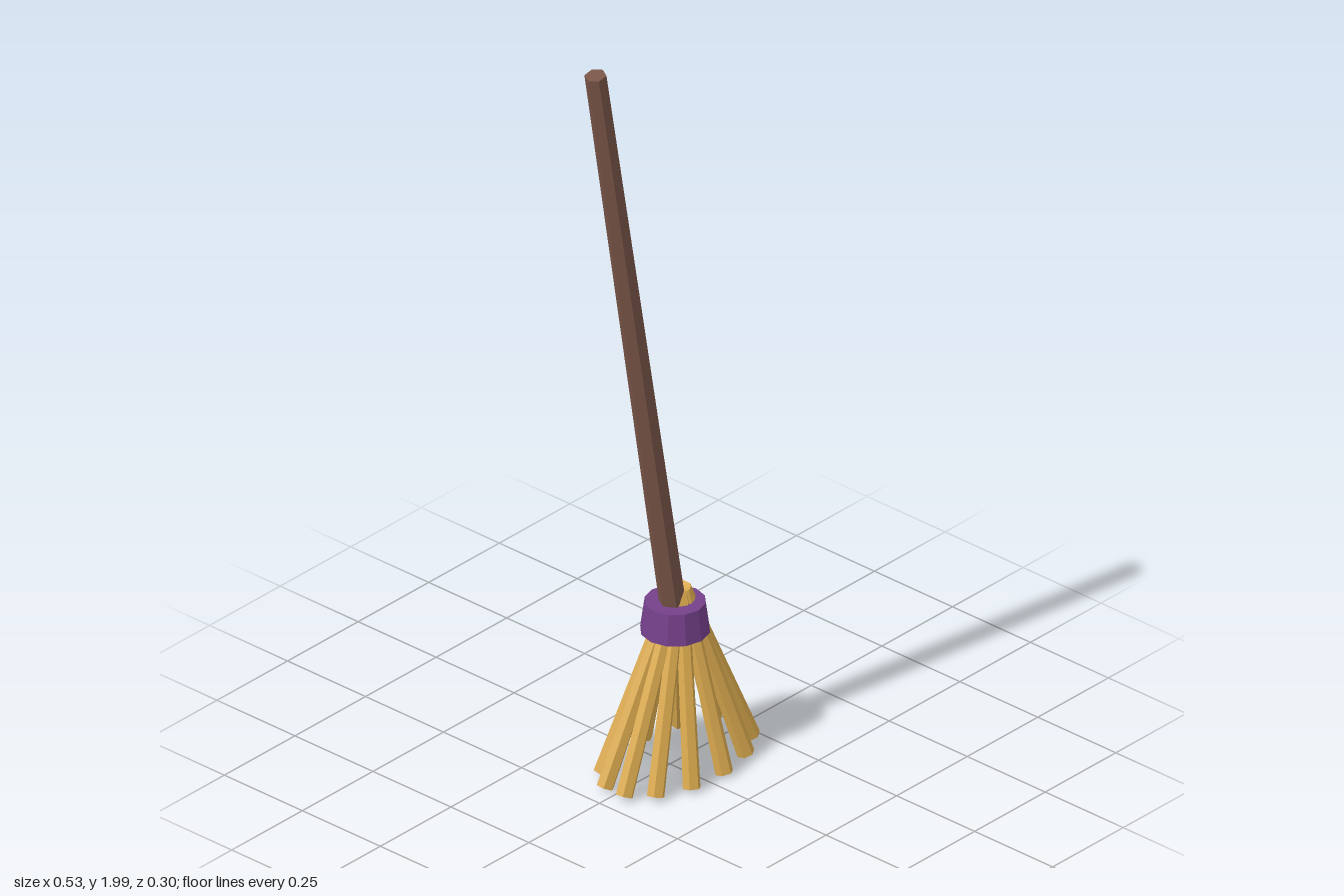
import * as THREE from 'three';

const paint = (color) => new THREE.MeshStandardMaterial({ color, flatShading: true });
const wood = paint(0x795548);
const straw = paint(0xd9a94e);
const cloth = paint(0x74408a);

// Tapered rod between two points
function rod(name, bottom, top, rBottom, rTop, sides, material, spin = 0) {
  const dir = top.clone().sub(bottom);
  const geo = new THREE.CylinderGeometry(rTop, rBottom, dir.length(), sides);
  geo.rotateY(spin);
  const mesh = new THREE.Mesh(geo, material);
  mesh.name = name;
  mesh.position.copy(bottom).add(top).multiplyScalar(0.5);
  mesh.quaternion.setFromUnitVectors(new THREE.Vector3(0, 1, 0), dir.normalize());
  return mesh;
}

export function createModel() {
  const broom = new THREE.Group();
  broom.name = 'broom';

  // Leaning handle, slightly thicker at the foot
  broom.add(rod('handle', new THREE.Vector3(0.017, 0.4, 0), new THREE.Vector3(-0.24, 1.996, -0.022),
    0.033, 0.027, 6, wood, Math.PI / 6));

  // Binding collar
  const collar = rod('collar', new THREE.Vector3(0.018, 0.37, 0), new THREE.Vector3(0.018, 0.45, 0),
    0.085, 0.074, 12, cloth);
  broom.add(collar);

  // Bristles fanned out over an ellipse
  const bristles = new THREE.Group();
  bristles.name = 'bristles';
  const count = 13;
  for (let i = 0; i < count; i++) {
    const a = (i / count) * Math.PI * 2;
    const c = Math.cos(a), s = Math.sin(a);
    const bottom = new THREE.Vector3(0.022 + 0.225 * c, 0.003 + 0.009 * Math.hypot(c, 0.6 * s), 0.13 * s);
    bottom.y += 0.004;
    const top = new THREE.Vector3(0.03 + 0.012 * c, 0.48, 0.016 * s);
    bristles.add(rod('bristle', bottom, top, 0.022, 0.017, 6, straw));
  }
  broom.add(bristles);

  return broom;
}
